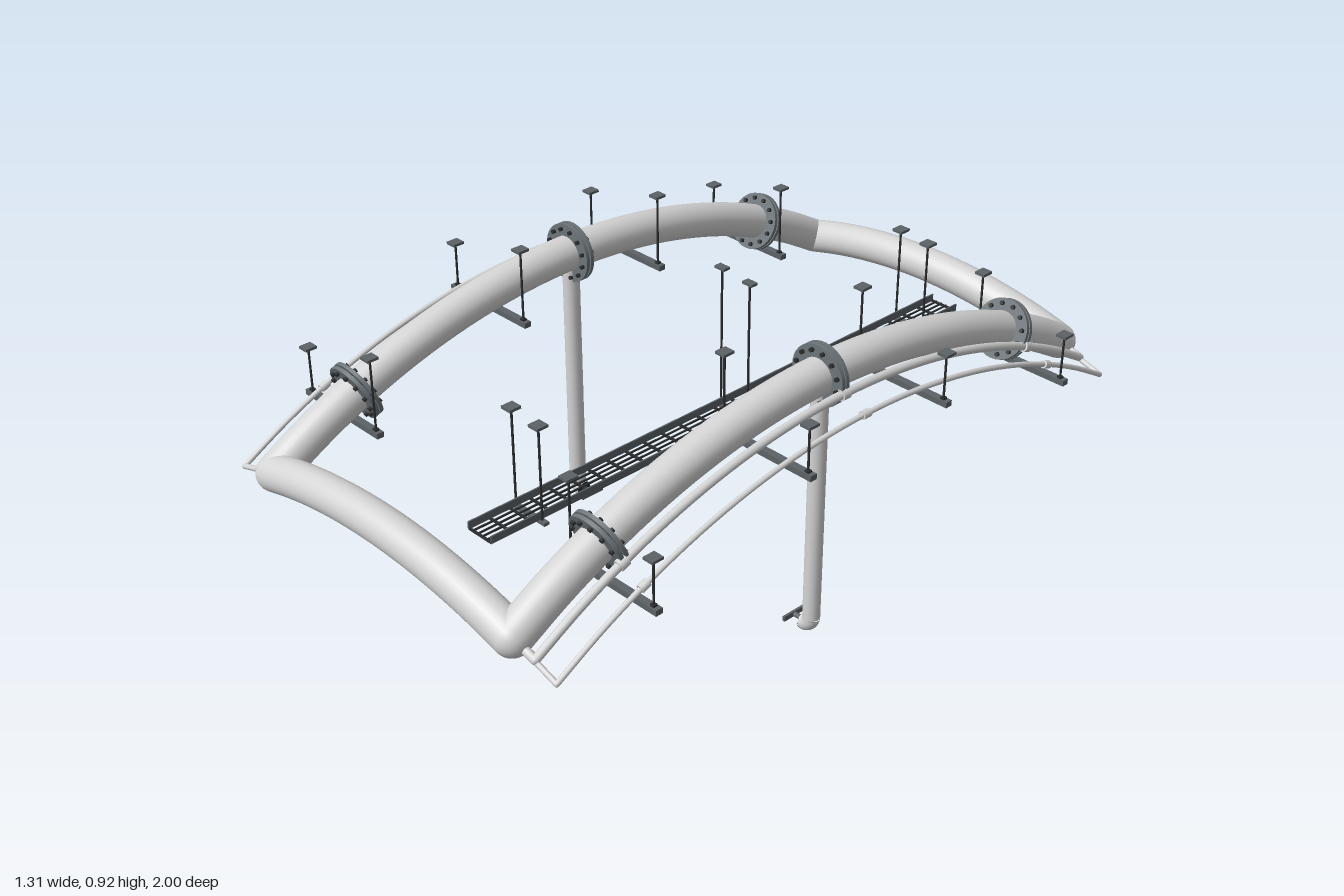
import * as THREE from 'three';

const mat = (name, color) => {
  const m = new THREE.MeshStandardMaterial({ color });
  m.name = name;
  return m;
};

export function createModel() {
  const pipe = mat('light grey pipe', 0xd4d4d4);
  const flangeGrey = mat('flange grey', 0x6d757a);
  const steel = mat('bracket steel', 0x5c6266);
  const dark = mat('dark steel', 0x2c2e30);
  const root = new THREE.Group();

  const add = (parent, name, geo, material, x = 0, y = 0, z = 0) => {
    const m = new THREE.Mesh(geo, material);
    m.name = name;
    m.position.set(x, y, z);
    parent.add(m);
    return m;
  };
  const box = (p, name, material, w, h, d, x, y, z) =>
    add(p, name, new THREE.BoxGeometry(w, h, d), material, x, y, z);
  const rod = (p, name, material, r, x, y0, y1, z) =>
    add(p, name, new THREE.CylinderGeometry(r, r, y1 - y0, 8), material, x, (y0 + y1) / 2, z);
  const tube = (p, name, points, r, segments, sides) =>
    add(p, name, new THREE.TubeGeometry(new THREE.CatmullRomCurve3(points), segments, r, sides), pipe);

  // Circular arch: height at distance s from the middle
  const arch = (half, sag, top) => {
    const R = (half * half + sag * sag) / (2 * sag);
    return s => top - R + Math.sqrt(R * R - s * s);
  };
  const END = 0.952, R = 0.048;
  const sideY = arch(END, 0.27, 0.755);
  const crossY = arch(0.45, 0.062, 0.547);
  const tilt = z => Math.atan2(z, 1.81 - (0.755 - sideY(z)));
  const sidePoints = (x, drop) => Array.from({ length: 17 }, (_, i) => {
    const z = END * (i / 8 - 1);
    return new THREE.Vector3(x, sideY(z) - drop, z);
  });

  // Curved cross pipes at both ends
  for (const z of [-END, END]) {
    const pts = Array.from({ length: 13 }, (_, i) => {
      const x = 0.45 * (i / 6 - 1);
      return new THREE.Vector3(x, crossY(x), z);
    });
    tube(root, 'crossPipe', pts, R, 32, 28);
  }

  for (const s of [-1, 1]) {
    const side = new THREE.Group();
    side.name = s > 0 ? 'leftSide' : 'rightSide';
    root.add(side);

    // Arched main pipe with corner joints
    tube(side, 'mainPipe', sidePoints(s * 0.45, 0), R, 48, 28);
    for (const z of [-END, END])
      add(side, 'cornerJoint', new THREE.SphereGeometry(R, 24, 16), pipe, s * 0.45, 0.485, z);

    // Bolted flange pairs and the couplings of the small pipes
    for (const z of [-0.7, 0, 0.7]) {
      const f = new THREE.Group();
      f.name = 'flange';
      f.position.set(s * 0.45, sideY(z), z);
      f.rotation.x = tilt(z);
      side.add(f);
      for (const d of [-0.007, 0.007])
        add(f, 'flangeDisc', new THREE.CylinderGeometry(0.081, 0.081, 0.01, 36), flangeGrey, 0, 0, d).rotation.x = Math.PI / 2;
      for (let i = 0; i < 12; i++) {
        const a = (i + 0.5) * Math.PI / 6;
        add(f, 'bolt', new THREE.CylinderGeometry(0.006, 0.006, 0.04, 6), dark,
          0.067 * Math.cos(a), 0.067 * Math.sin(a), 0).rotation.x = Math.PI / 2;
      }
      for (const [x, drop, r] of [[0.525, 0.022, 0.015], [0.594, 0.047, 0.011]])
        add(side, 'coupling', new THREE.CylinderGeometry(r, r, 0.024, 14), pipe,
          s * x, sideY(z) - drop, z).rotation.x = Math.PI / 2 + tilt(z);
    }

    // Two small parallel pipes with their end branches
    for (const [x, drop, r] of [[0.525, 0.022, 0.011], [0.594, 0.047, 0.007]]) {
      tube(side, 'smallPipe', sidePoints(s * x, drop), r, 48, 12);
      for (const z of [-END, END]) {
        const y = sideY(z) - drop;
        tube(side, 'endBranch', [new THREE.Vector3(s * x, y, z), new THREE.Vector3(s * 0.45, 0.482, z)], r, 1, 12);
        add(side, 'branchElbow', new THREE.SphereGeometry(r, 12, 8), pipe, s * x, y, z);
      }
    }

    // Trapeze hangers: bar, two rods and their anchor plates
    for (const [z0, barY, inTop, outTop] of [[0.235, 0.663, 0.87, 0.795], [0.71, 0.533, 0.743, 0.665]])
      for (const z of [-z0, z0]) {
        const h = new THREE.Group();
        h.name = 'trapezeHanger';
        side.add(h);
        box(h, 'hangerBar', steel, 0.305, 0.015, 0.02, s * 0.5, barY, z);
        for (const [x, top] of [[0.365, inTop], [0.635, outTop]]) {
          rod(h, 'hangerRod', dark, 0.003, s * x, barY - 0.008, top, z);
          box(h, 'anchorPlate', steel, 0.03, 0.007, 0.033, s * x, top, z);
          box(h, 'rodNut', dark, 0.012, 0.006, 0.012, s * x, barY + 0.01, z);
        }
      }

    // Drop pipe with an elbow turned inward
    const leg = new THREE.Group();
    leg.name = 'dropPipe';
    side.add(leg);
    add(leg, 'riser', new THREE.CylinderGeometry(0.023, 0.023, 0.675, 20), pipe, s * 0.45, 0.385, 0);
    const bend = Array.from({ length: 7 }, (_, i) => {
      const a = i / 6 * Math.PI / 2;
      return new THREE.Vector3(s * (0.425 + 0.025 * Math.cos(a)), 0.048 - 0.025 * Math.sin(a), 0);
    });
    tube(leg, 'elbow', bend, 0.023, 12, 20);
    add(leg, 'outletCap', new THREE.CylinderGeometry(0.022, 0.022, 0.004, 20), dark, s * 0.425, 0.023, 0).rotation.z = Math.PI / 2;
    add(leg, 'valveStem', new THREE.CylinderGeometry(0.007, 0.007, 0.07, 10), steel, s * 0.423, 0.026, 0).rotation.z = Math.PI / 2;
    box(leg, 'valveHandle', steel, 0.007, 0.014, 0.075, s * 0.39, 0.027, 0);
  }

  // Cable tray: rails, long wires and rungs
  const tray = new THREE.Group();
  tray.name = 'cableTray';
  root.add(tray);
  const TX = 0.165, L = 1.62;
  for (const x of [-0.041, 0.041]) box(tray, 'trayRail', steel, 0.004, 0.02, L, TX + x, 0.545, 0);
  for (const x of [-0.025, -0.008, 0.008, 0.025]) box(tray, 'trayWire', dark, 0.004, 0.004, L, TX + x, 0.538, 0);
  for (let i = 0; i <= 27; i++)
    box(tray, 'trayRung', dark, 0.082, 0.005, 0.006, TX, 0.536, (i / 27 - 0.5) * (L - 0.006));

  // Tray hangers
  for (const [z, top] of [[-0.665, 0.795], [0, 0.915], [0.665, 0.795]]) {
    box(tray, 'trayBar', steel, 0.125, 0.008, 0.015, TX, 0.531, z);
    for (const [x, d] of [[0.118, 0], [0.212, 0.008]]) {
      rod(tray, 'trayRod', dark, 0.003, x, 0.53, top - d, z);
      box(tray, 'trayAnchor', steel, 0.032, 0.007, z ? 0.033 : 0.02, x, top - d, z);
    }
  }
  return root;
}
